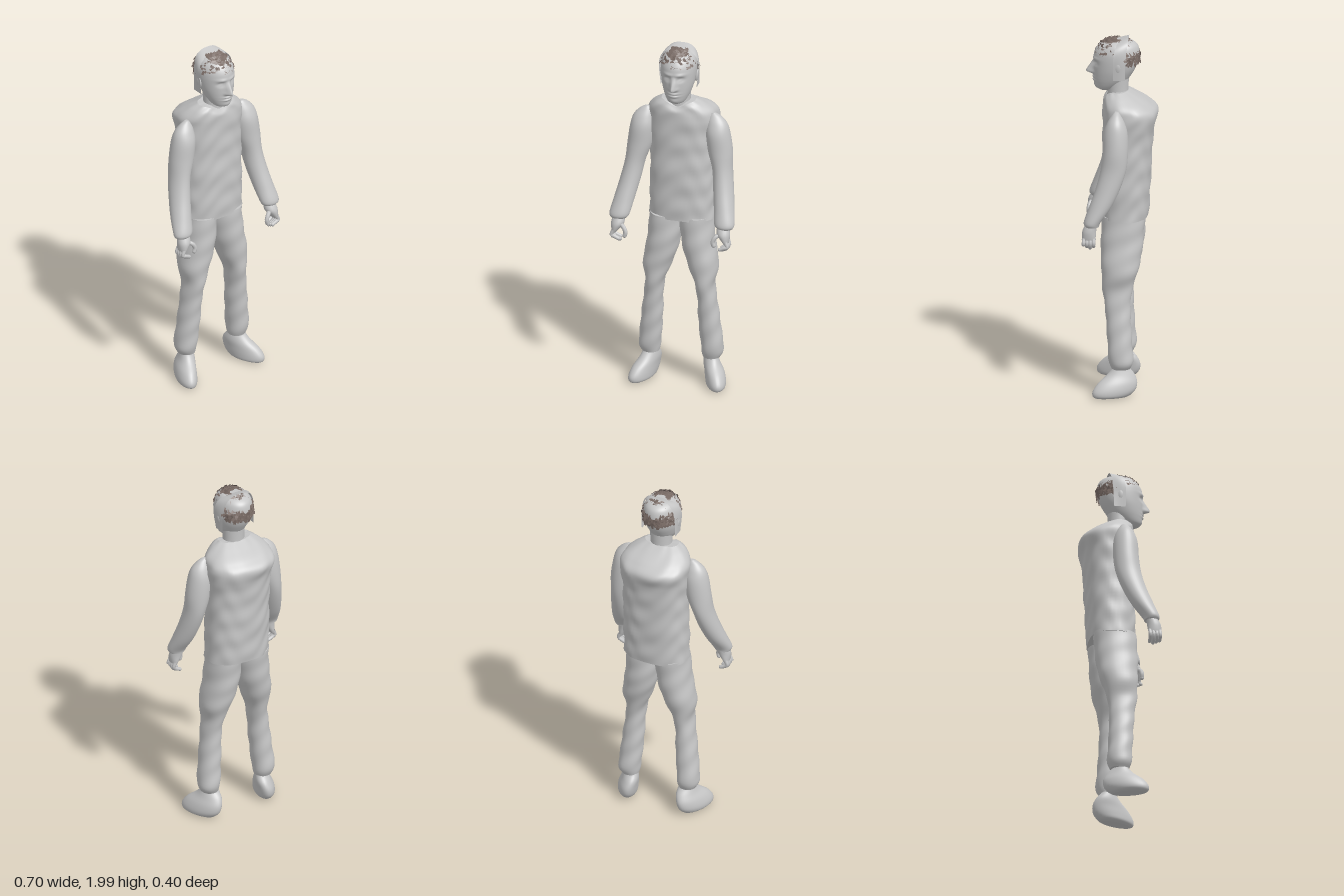
import * as THREE from 'three';
import { mergeGeometries } from 'three/addons/utils/BufferGeometryUtils.js';

const bodyMat = new THREE.MeshStandardMaterial({ color: 0xc6c6c6 });
bodyMat.name = 'light grey';
bodyMat.side = THREE.DoubleSide;
const hairMat = new THREE.MeshStandardMaterial({ color: 0x7a6c66 });
hairMat.name = 'brown grey hair';
hairMat.side = THREE.DoubleSide;

const bump = (d, w) => Math.exp(-(d * d) / (w * w));

// Smooth interpolation through cross-section rows
function sampleRows(rows, t) {
  const f = t * (rows.length - 1);
  const i = Math.min(Math.floor(f), rows.length - 2);
  const u = f - i;
  const at = k => rows[Math.max(0, Math.min(rows.length - 1, k))];
  return rows[0].map((_, k) => {
    const a = at(i - 1)[k], b = at(i)[k], c = at(i + 1)[k], d = at(i + 2)[k];
    return b + 0.5 * u * (c - a + u * (2 * a - 5 * b + 4 * c - d + u * (3 * (b - c) + d - a)));
  });
}

// Closed loft through rows [y, xMin, xMax, zMin, zMax], lowest row first
function loft(rows, { around = 32, up = 32, power = 2, deform = null } = {}) {
  const pos = [], idx = [];
  const addRing = r => {
    const start = pos.length / 3;
    for (let j = 0; j < around; j++) {
      const a = (j / around) * Math.PI * 2;
      const c = Math.cos(a), s = Math.sin(a);
      const px = Math.sign(c) * Math.abs(c) ** (2 / power);
      const pz = Math.sign(s) * Math.abs(s) ** (2 / power);
      const p = new THREE.Vector3((r[1] + r[2]) / 2 + px * (r[2] - r[1]) / 2, r[0], (r[3] + r[4]) / 2 + pz * (r[4] - r[3]) / 2);
      if (deform) deform(p, a);
      pos.push(p.x, p.y, p.z);
    }
    return start;
  };
  for (let i = 0; i <= up; i++) addRing(sampleRows(rows, i / up));
  for (let i = 0; i < up; i++) for (let j = 0; j < around; j++) {
    const n = (j + 1) % around, a = i * around + j, b = i * around + n;
    idx.push(a, a + around, b, b, a + around, b + around);
  }
  // End caps on their own vertices keep the rims sharp
  [[rows[0], false], [rows[rows.length - 1], true]].forEach(([r, top]) => {
    const s = addRing(r), centre = pos.length / 3;
    const m = new THREE.Vector3();
    for (let j = 0; j < around; j++) m.add(new THREE.Vector3().fromArray(pos, (s + j) * 3));
    pos.push(m.x / around, m.y / around, m.z / around);
    for (let j = 0; j < around; j++) {
      const n = s + (j + 1) % around;
      if (top) idx.push(centre, n, s + j); else idx.push(centre, s + j, n);
    }
  });
  const g = new THREE.BufferGeometry();
  g.setAttribute('position', new THREE.Float32BufferAttribute(pos, 3));
  g.setIndex(idx);
  g.computeVertexNormals();
  return g;
}

// Mirrors rows to one side (side = -1 keeps them) and shifts them in x
const mirrorRows = (rows, side, shift) => rows.map(([y, a, b, c, d]) =>
  side < 0 ? [y, a, b, c, d] : [y, -b + shift(y), -a + shift(y), c, d]);

export function createModel() {
  const model = new THREE.Group();
  const add = (name, geo, mat = bodyMat, parent = model) => {
    const m = new THREE.Mesh(geo, mat);
    m.name = name;
    parent.add(m);
    return m;
  };

  // Shirt with faint wrinkles and a collar dipping at the front
  add('shirt', loft([
    [0.985, -0.165, 0.2, -0.15, 0.105], [1.1, -0.165, 0.2, -0.157, 0.105], [1.25, -0.163, 0.2, -0.165, 0.105],
    [1.4, -0.163, 0.2, -0.172, 0.1], [1.5, -0.17, 0.205, -0.185, 0.1], [1.575, -0.178, 0.21, -0.2, 0.1],
    [1.62, -0.168, 0.198, -0.155, 0.098], [1.66, -0.135, 0.15, -0.09, 0.092], [1.69, -0.09, 0.1, -0.04, 0.08],
  ], {
    around: 56, up: 64, power: 2.35, deform: (p, a) => {
      const w = 0.004 * Math.sin(p.y * 42 + Math.sin(a * 3) * 2) * Math.sin(a * 5 + p.y * 9);
      p.x += w * Math.cos(a);
      p.z += w * Math.sin(a);
      if (p.z > 0.02) p.y -= 0.035 * bump(p.x - 0.01, 0.06) * THREE.MathUtils.smoothstep(p.y, 1.6, 1.69);
    },
  }));
  add('neck', loft([[1.6, -0.055, 0.075, -0.045, 0.08], [1.68, -0.05, 0.07, -0.04, 0.075], [1.8, -0.055, 0.075, -0.045, 0.08]], { up: 8 }));

  // Head with sculpted nose, eye sockets, brow, lips and chin
  const hx = 0.008;
  add('head', loft([
    [1.69, -0.02, 0.036, 0.06, 0.115], [1.705, -0.042, 0.058, 0.02, 0.138], [1.74, -0.062, 0.078, -0.03, 0.148],
    [1.78, -0.076, 0.092, -0.06, 0.15], [1.82, -0.085, 0.101, -0.082, 0.15], [1.87, -0.09, 0.106, -0.098, 0.15],
    [1.91, -0.088, 0.104, -0.1, 0.143], [1.945, -0.075, 0.091, -0.088, 0.12], [1.966, -0.05, 0.066, -0.055, 0.085],
    [1.972, -0.01, 0.026, -0.01, 0.03],
  ], {
    around: 72, up: 80, deform: p => {
      if (p.z < 0.03) return;
      const x = Math.abs(p.x - hx), y = p.y;
      const nose = THREE.MathUtils.clamp((1.86 - y) / 0.06, 0, 1) * THREE.MathUtils.smoothstep(y, 1.772, 1.79);
      p.z += 0.04 * nose * bump(x, 0.015);
      p.z += 0.006 * bump(x - 0.018, 0.009) * bump(y - 1.79, 0.01);
      p.z -= 0.014 * bump(x - 0.037, 0.019) * bump(y - 1.846, 0.013);
      p.z += 0.007 * bump(x - 0.037, 0.011) * bump(y - 1.843, 0.007);
      p.z += 0.006 * bump(x - 0.035, 0.03) * bump(y - 1.872, 0.009);
      p.z += 0.008 * bump(x, 0.026) * (bump(y - 1.762, 0.006) + bump(y - 1.746, 0.006));
      p.z -= 0.005 * bump(x, 0.03) * bump(y - 1.754, 0.003);
      p.z += 0.004 * bump(x, 0.022) * bump(y - 1.716, 0.012);
    },
  }));
  for (const side of [-1, 1]) {
    const ear = add(side < 0 ? 'rightEar' : 'leftEar', new THREE.SphereGeometry(1, 16, 12));
    ear.scale.set(0.01, 0.036, 0.02);
    ear.position.set(hx + side * 0.098, 1.83, 0.015);
    ear.rotation.z = -side * 0.15;
  }

  // Flared band arching over the head from ear to ear
  const bandPos = [], bandIdx = [], steps = 40, strips = 5;
  for (let i = 0; i <= steps; i++) {
    const t = (i / steps) * Math.PI, s = Math.sin(t), c = Math.cos(t);
    for (let k = 0; k <= strips; k++) {
      const v = k / strips;
      const flare = 0.1 + 0.028 * Math.sin(v * Math.PI / 2) * s ** 0.5;
      bandPos.push(hx + Math.sign(c) * Math.abs(c) ** 0.75 * flare, 1.765 + (0.225 - 0.02 * v) * s ** 0.45,
        THREE.MathUtils.lerp(-0.025 - 0.018 * s, 0.04 - 0.025 * s * s, v));
    }
  }
  for (let i = 0; i < steps; i++) for (let k = 0; k < strips; k++) {
    const a = i * (strips + 1) + k, b = a + strips + 1;
    bandIdx.push(a, a + 1, b, b, a + 1, b + 1);
  }
  const band = new THREE.BufferGeometry();
  band.setAttribute('position', new THREE.Float32BufferAttribute(bandPos, 3));
  band.setIndex(bandIdx);
  band.computeVertexNormals();
  add('headBand', band);

  // Hair: crossing flat strands at the fringe and at the back of the head
  let seed = 7;
  const rnd = () => (seed = (seed * 16807) % 2147483647) / 2147483647;
  const hair = (name, count, azimuth, spread, low, high) => {
    const cards = [];
    for (let i = 0; i < count; i++) {
      const az = azimuth + (rnd() - 0.5) * spread, el = low + rnd() * (high - low);
      const n = new THREE.Vector3(Math.sin(az) * Math.cos(el), Math.sin(el), Math.cos(az) * Math.cos(el));
      const card = new THREE.PlaneGeometry(0.01 + rnd() * 0.008, 0.035 + rnd() * 0.035);
      card.rotateZ((rnd() < 0.5 ? -1 : 1) * (0.4 + rnd() * 0.6));
      card.rotateX((rnd() - 0.5) * 0.5);
      const q = new THREE.Quaternion().setFromUnitVectors(new THREE.Vector3(0, 0, 1), n);
      card.applyQuaternion(q);
      card.translate(hx + n.x * 0.1, 1.87 + n.y * 0.112, 0.022 + n.z * 0.125);
      cards.push(card);
    }
    add(name, mergeGeometries(cards), hairMat);
  };
  hair('frontHair', 230, 0, 2.7, 0.45, 1.35);
  hair('backHair', 230, Math.PI, 2.3, -0.1, 1.05);

  for (const side of [-1, 1]) {
    const label = side < 0 ? 'right' : 'left';

    // Sleeve, bending forward at the elbow
    const armShift = y => 0.03 * THREE.MathUtils.clamp((y - 1.0) / 0.4, 0, 1) - 0.005;
    add(label + 'Arm', loft(mirrorRows([
      [0.995, -0.345, -0.255, 0.105, 0.18], [1.02, -0.352, -0.24, 0.095, 0.188], [1.1, -0.335, -0.222, 0.04, 0.16],
      [1.2, -0.312, -0.2, -0.008, 0.125], [1.3, -0.292, -0.18, -0.04, 0.1], [1.4, -0.282, -0.145, -0.05, 0.09],
      [1.5, -0.268, -0.132, -0.047, 0.085], [1.56, -0.25, -0.138, -0.03, 0.065], [1.6, -0.215, -0.15, -0.008, 0.04],
      [1.617, -0.185, -0.165, 0.005, 0.025],
    ], side, armShift), { up: 48 }));

    // Hand with curled fingers
    const hand = new THREE.Group();
    hand.name = label + 'Hand';
    model.add(hand);
    add('palm', loft(mirrorRows([
      [0.915, -0.333, -0.305, 0.125, 0.193], [0.94, -0.337, -0.285, 0.122, 0.197],
      [0.97, -0.338, -0.265, 0.12, 0.195], [1.01, -0.33, -0.265, 0.115, 0.175],
    ], side, () => -0.01), { up: 12, around: 20 }), bodyMat, hand);
    const digit = (name, pts, r) => {
      const v = pts.map(p => new THREE.Vector3(-side * p[0] - (side > 0 ? 0.01 : 0), p[1], p[2]));
      const tube = new THREE.TubeGeometry(new THREE.CatmullRomCurve3(v), 10, r, 8);
      const tip = new THREE.SphereGeometry(r, 8, 6).translate(...v[v.length - 1].toArray());
      add(name, mergeGeometries([tube, tip]), bodyMat, hand);
    };
    for (let f = 0; f < 4; f++) {
      const z = 0.132 + f * 0.018, low = 0.868 + 0.008 * Math.abs(f - 1);
      digit('finger', [[-0.32, 0.93, z], [-0.33, 0.9, z + 0.002], [-0.317, low + 0.012, z + 0.004], [-0.29, low, z + 0.004]], 0.0105);
    }
    digit('thumb', [[-0.285, 0.965, 0.17], [-0.262, 0.95, 0.185], [-0.25, 0.925, 0.19], [-0.255, 0.905, 0.19]], 0.012);

    // Trouser leg
    add(label + 'Leg', loft(mirrorRows([
      [0.155, -0.205, -0.115, -0.06, 0.045], [0.2, -0.225, -0.105, -0.075, 0.058], [0.3, -0.216, -0.097, -0.068, 0.065],
      [0.4, -0.205, -0.09, -0.063, 0.072], [0.5, -0.192, -0.088, -0.06, 0.08], [0.6, -0.182, -0.075, -0.07, 0.095],
      [0.7, -0.198, -0.035, -0.1, 0.1], [0.8, -0.182, -0.004, -0.12, 0.105], [0.9, -0.17, 0.012, -0.128, 0.104],
      [1.0, -0.163, 0.016, -0.135, 0.1],
    ], side, () => 0.022), {
      around: 36, up: 48, power: 2.15, deform: (p, a) => {
        const w = 0.002 * Math.sin(p.y * 50 + a * 2);
        p.x += w * Math.cos(a);
        p.z += w * Math.sin(a);
      },
    }));

    // Shoe, toe turned outward
    add(label + 'Shoe', loft(mirrorRows([
      [0, -0.218, -0.15, -0.045, 0.125], [0.012, -0.238, -0.13, -0.065, 0.142], [0.04, -0.242, -0.124, -0.09, 0.142],
      [0.08, -0.232, -0.12, -0.096, 0.115], [0.12, -0.212, -0.115, -0.08, 0.07], [0.155, -0.2, -0.118, -0.052, 0.042],
      [0.18, -0.195, -0.125, -0.045, 0.035],
    ], side, () => 0.022), { around: 36, up: 24, deform: p => { p.x += side * 0.28 * p.z; } }));
  }
  return model;
}
